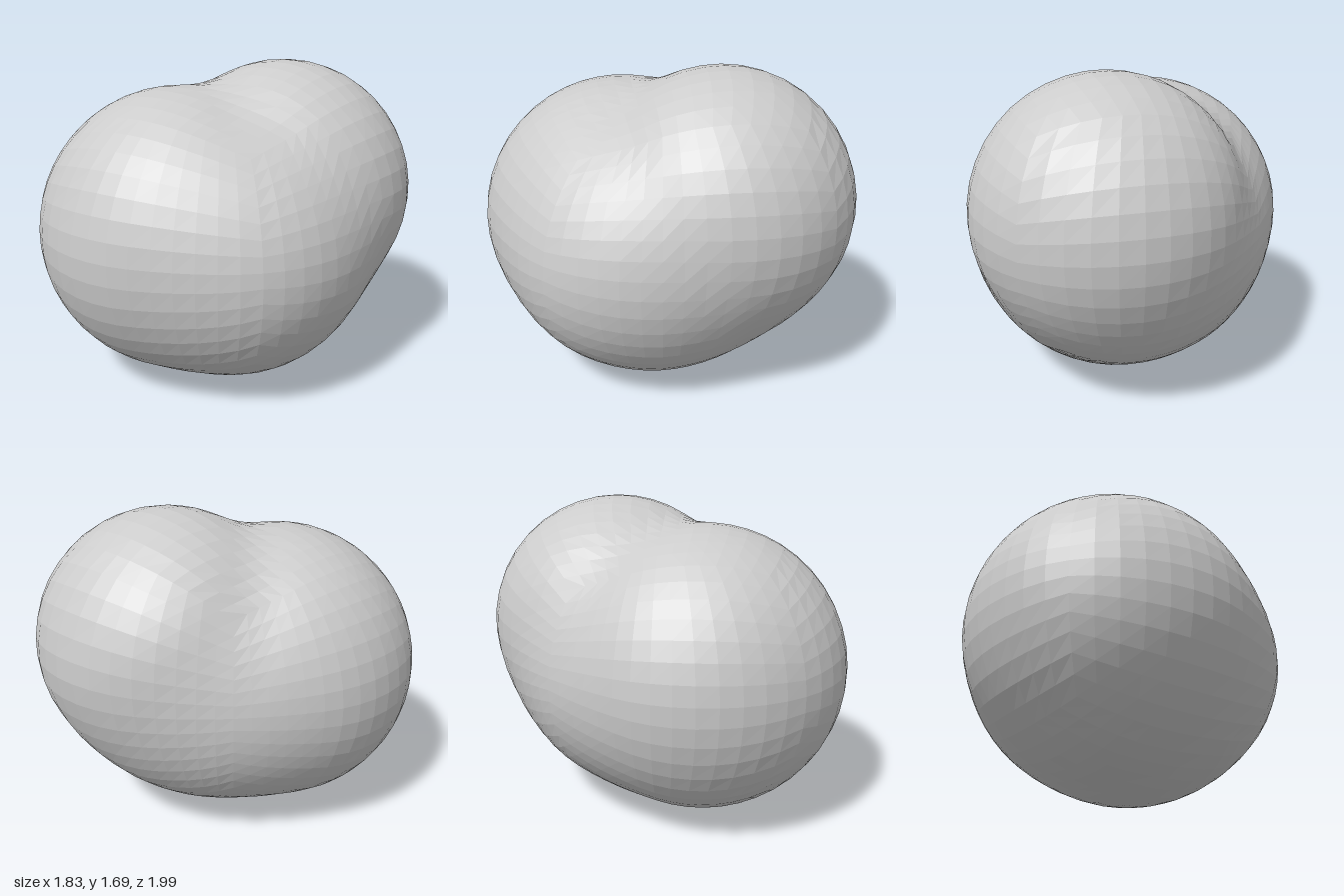
import * as THREE from 'three';
import { mergeVertices } from 'three/addons/utils/BufferGeometryUtils.js';

// Overlapping balls that melt together: x, y, z, radius
const BALLS = [
  [-0.155, 0.815, 0.19, 0.748], // front lobe, outer side
  [-0.11, 0.815, 0.24, 0.743], // front lobe, nose
  [0.21, 0.985, -0.285, 0.715], // tall back lobe
  [0.17, 0.75, 0.175, 0.685], // side filling
  [0.2, 0.79, 0.0, 0.672], // side bridge between the lobes
  [-0.05, 0.77, -0.1, 0.665], // back filling
  [0.12, 0.8, -0.2, 0.675], // lower back filling
  [0.12, 0.665, 0.02, 0.65], // underside bump
];
const BLEND = 0.1;
const CORE = new THREE.Vector3(0, 0.85, 0);

// Smooth minimum of the ball distances
function distanceTo(p) {
  return BALLS.map(([x, y, z, r]) => Math.hypot(p.x - x, p.y - y, p.z - z) - r).reduce((a, b) => {
    const h = Math.max(BLEND - Math.abs(a - b), 0);
    return Math.min(a, b) - (h * h) / (4 * BLEND);
  });
}

// Push a direction out from the core until it meets the blended skin
function skinPoint(dir) {
  let near = 0.2, far = 1.6;
  const p = new THREE.Vector3();
  for (let i = 0; i < 24; i++) {
    const mid = (near + far) / 2;
    p.copy(CORE).addScaledVector(dir, mid);
    if (distanceTo(p) < 0) near = mid;
    else far = mid;
  }
  return p;
}

export function createModel() {
  const group = new THREE.Group();
  group.name = 'blob';

  // Cube grid rounded into even facets, then pushed to the skin
  let geometry = new THREE.BoxGeometry(2, 2, 2, 14, 14, 14);
  geometry.deleteAttribute('uv');
  geometry.deleteAttribute('normal');
  geometry = mergeVertices(geometry);
  const pos = geometry.attributes.position;
  const dir = new THREE.Vector3();
  for (let i = 0; i < pos.count; i++) {
    dir.fromBufferAttribute(pos, i);
    dir.set(...dir.toArray().map((v) => Math.tan((v * Math.PI) / 4))).normalize();
    pos.setXYZ(i, ...skinPoint(dir));
  }

  // Centre it and stand it on the floor
  geometry.center();
  geometry.translate(0, -geometry.boundingBox.min.y, 0);
  geometry.computeVertexNormals();

  const body = new THREE.Mesh(
    geometry,
    new THREE.MeshStandardMaterial({ color: 0xcccccc, flatShading: true })
  );
  body.name = 'blendedBody';
  group.add(body);
  return group;
}
